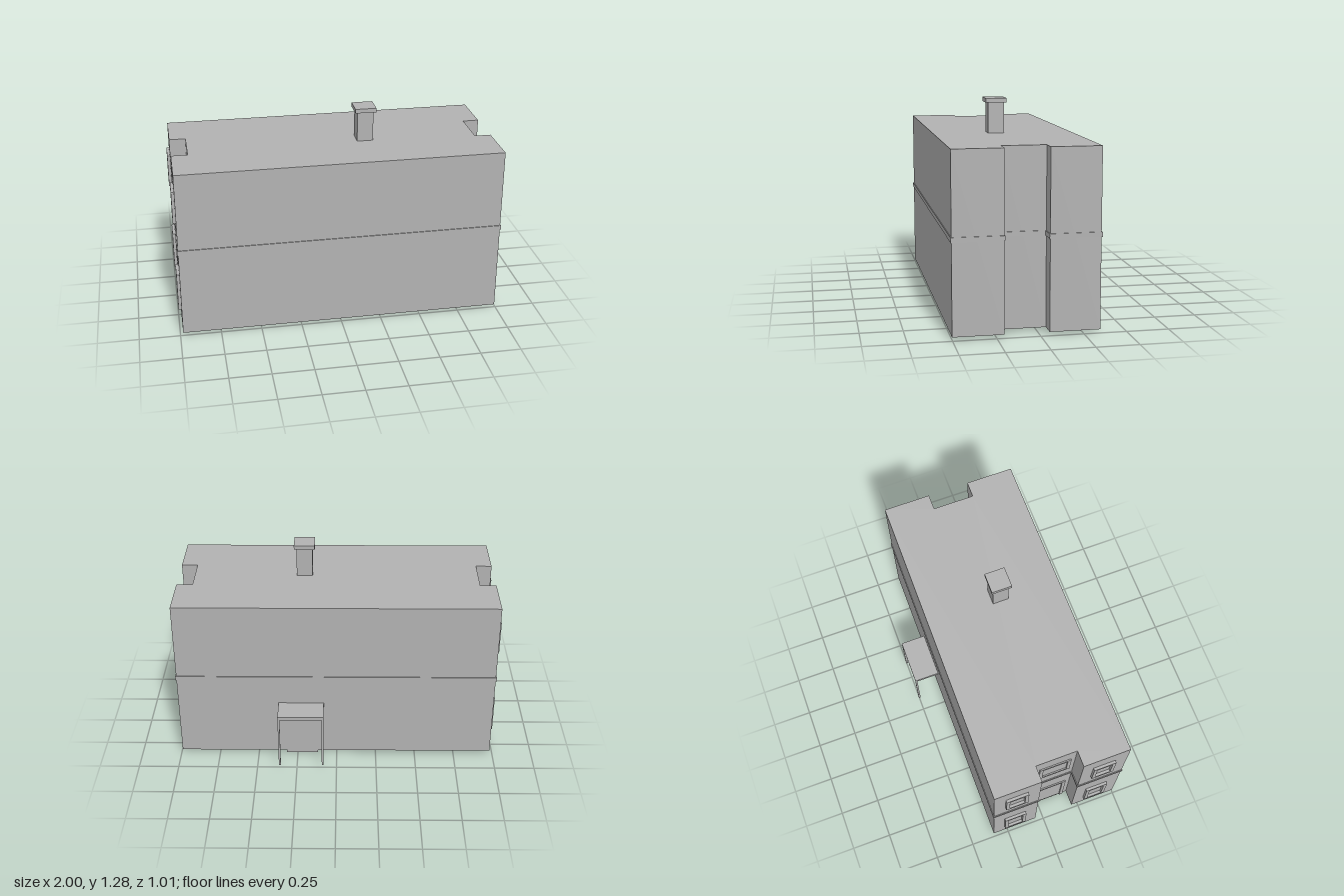
import * as THREE from 'three';

const plaster = new THREE.MeshStandardMaterial({ color: 0xb2b2b2 });
plaster.name = 'plaster grey';

// Building footprint with a notch in each end, grown outwards by o
function footprint(o) {
  const l = -0.983 - o, r = 0.993 + o, back = -0.346 - o, front = 0.502 + o;
  const nl = -0.883 - o, nr = 0.893 + o, n0 = -0.052 + o, n1 = 0.207 - o;
  const points = [
    [l, front], [r, front], [r, n1], [nr, n1], [nr, n0], [r, n0],
    [r, back], [l, back], [l, n0], [nl, n0], [nl, n1], [l, n1],
  ];
  return new THREE.Shape(points.map(([x, z]) => new THREE.Vector2(x, -z)));
}

export function createModel() {
  const model = new THREE.Group();
  model.name = 'house';

  const add = (name, geometry, parent = model) => {
    const mesh = new THREE.Mesh(geometry, plaster);
    mesh.name = name;
    parent.add(mesh);
    return mesh;
  };
  // Box given by its extents on each axis
  const box = (name, [x0, x1], [y0, y1], [z0, z1], parent) =>
    add(name, new THREE.BoxGeometry(x1 - x0, y1 - y0, z1 - z0), parent)
      .position.set((x0 + x1) / 2, (y0 + y1) / 2, (z0 + z1) / 2);
  // Slab of the footprint between two heights
  const storey = (name, o, y0, y1) => {
    const g = new THREE.ExtrudeGeometry(footprint(o), { depth: y1 - y0, bevelEnabled: false });
    g.rotateX(-Math.PI / 2);
    add(name, g).position.y = y0;
  };

  // Walls with flat roof, and the band between the floors
  storey('walls', 0, 0.02, 1.069);
  storey('floorBand', 0.005, 0.556, 0.584);

  // Chimney
  box('chimneyShaft', [0.154, 0.253], [1.069, 1.256], [0.07, 0.169]);
  box('chimneyCap', [0.139, 0.268], [1.256, 1.282], [0.057, 0.184]);

  // Porch roof on two posts behind the house
  const porch = new THREE.Group();
  porch.name = 'porch';
  model.add(porch);
  box('porchRoof', [0.081, 0.364], [0.366, 0.388], [-0.504, -0.346], porch);
  for (const x of [0.081, 0.352]) {
    box('porchPost', [x, x + 0.012], [0.02, 0.366], [-0.504, -0.492], porch);
  }

  // Doors sit just inside the walls and reach the ground
  box('backDoor', [0.12, 0.32], [0, 0.36], [-0.344, -0.341]);
  box('sideDoor', [-0.881, -0.878], [0, 0.36], [-0.022, 0.178]);

  // Frame on the end wall: jambs, head and, for windows, a sill
  function frame(name, wall, depth, [y0, y1], [z0, z1], sill = true, w = 0.022) {
    const shape = new THREE.Shape();
    const inner = sill ? y0 + w : y0;
    const corners = sill
      ? [[z0, y0], [z1, y0], [z1, y1], [z0, y1]]
      : [[z0, y0], [z0 + w, y0], [z0 + w, y1 - w], [z1 - w, y1 - w],
        [z1 - w, y0], [z1, y0], [z1, y1], [z0, y1]];
    shape.setFromPoints(corners.map(([z, y]) => new THREE.Vector2(z, y)));
    if (sill) {
      shape.holes.push(new THREE.Path([
        [z0 + w, inner], [z0 + w, y1 - w], [z1 - w, y1 - w], [z1 - w, inner],
      ].map(([z, y]) => new THREE.Vector2(z, y))));
    }
    const g = new THREE.ExtrudeGeometry(shape, { depth, bevelEnabled: false });
    g.rotateY(-Math.PI / 2);
    add(name, g).position.x = wall;
  }

  const upper = [0.722, 0.929], lower = [0.139, 0.38];
  for (const z of [[-0.273, -0.132], [0.28, 0.421]]) {
    frame('upperWindowFrame', -0.983, 0.017, upper, z);
    frame('lowerWindowFrame', -0.983, 0.017, lower, z);
  }
  frame('notchWindowFrame', -0.883, 0.008, upper, [-0.022, 0.178]);
  frame('sideDoorFrame', -0.883, 0.008, [0.02, 0.38], [-0.022, 0.178], false);

  return model;
}
